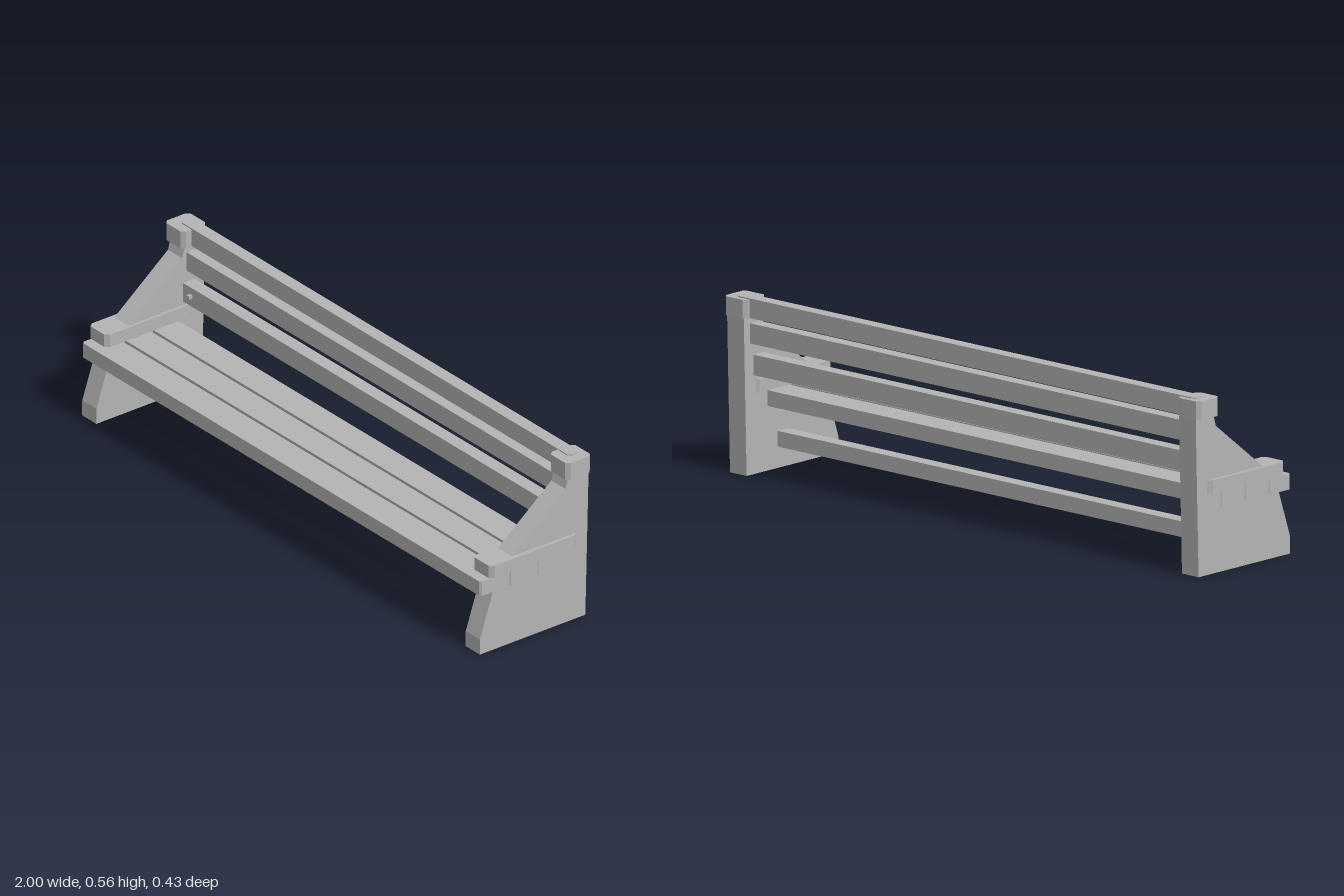
import * as THREE from 'three';

export function createModel() {
  const group = new THREE.Group();
  group.name = 'bench';
  const grey = new THREE.MeshStandardMaterial({ color: 0xb4b4b4 });
  grey.name = 'grey';

  const add = (name, geometry) => {
    const mesh = new THREE.Mesh(geometry, grey);
    mesh.name = name;
    group.add(mesh);
    return mesh;
  };

  // plain board given by its limits
  const board = (name, x0, x1, y0, y1, z0, z1) => {
    add(name, new THREE.BoxGeometry(x1 - x0, y1 - y0, z1 - z0))
      .position.set((x0 + x1) / 2, (y0 + y1) / 2, (z0 + z1) / 2);
  };

  // board with its four upright corners cut off
  const chamferedBoard = (name, x0, x1, y0, y1, z0, z1, cx, cz) => {
    const shape = new THREE.Shape([
      [x0 + cx, -z0], [x0, -z0 - cz], [x0, -z1 + cz], [x0 + cx, -z1],
      [x1 - cx, -z1], [x1, -z1 + cz], [x1, -z0 - cz], [x1 - cx, -z0],
    ].map(([x, y]) => new THREE.Vector2(x, y)));
    const geometry = new THREE.ExtrudeGeometry(shape, { depth: y1 - y0, bevelEnabled: false });
    geometry.rotateX(-Math.PI / 2).translate(0, y0, 0);
    add(name, geometry);
  };

  // side panel outline as (z, y)
  const profile = [
    [0.215, 0], [0.215, 0.053], [0.146, 0.256], [0.09, 0.3], [-0.122, 0.467],
    [-0.133, 0.505], [-0.213, 0.505], [-0.2, 0],
  ];
  const panelShape = new THREE.Shape(profile.map(([z, y]) => new THREE.Vector2(-z, y)));

  for (const side of [-1, 1]) {
    const label = side > 0 ? 'left' : 'right';
    const span = (a, b) => (side > 0 ? [a, b] : [-b, -a]);

    const panel = new THREE.ExtrudeGeometry(panelShape, { depth: 0.07, bevelEnabled: false });
    panel.rotateY(Math.PI / 2).translate(side * 0.95 - 0.035, 0, 0);
    add(label + 'SidePanel', panel);

    chamferedBoard(label + 'Armrest', ...span(0.906, 0.998), 0.258, 0.301, -0.163, 0.182, 0.012, 0.014);
    chamferedBoard(label + 'PostCap', ...span(0.906, 1), 0.502, 0.561, -0.215, -0.118, 0.012, 0.012);
    board(label + 'Peg', ...span(0.868, 0.88), 0.344, 0.356, -0.13, -0.112);
  }

  // seat planks
  for (const [z0, z1] of [[0.113, 0.215], [0.004, 0.102], [-0.105, -0.007]]) {
    chamferedBoard('seatPlank', -0.988, 0.988, 0.205, 0.255, z0, z1, 0.008, 0.007);
  }

  // back rails, stepping forward toward the seat
  chamferedBoard('topRail', -0.965, 0.965, 0.503, 0.565, -0.197, -0.153, 0.012, 0.01);
  board('upperBackRail', -0.93, 0.93, 0.418, 0.482, -0.185, -0.14);
  board('lowerBackRail', -0.93, 0.93, 0.315, 0.38, -0.17, -0.125);

  // stretcher under the seat
  board('stretcher', -0.93, 0.93, 0.068, 0.118, -0.06, -0.012);

  return group;
}
